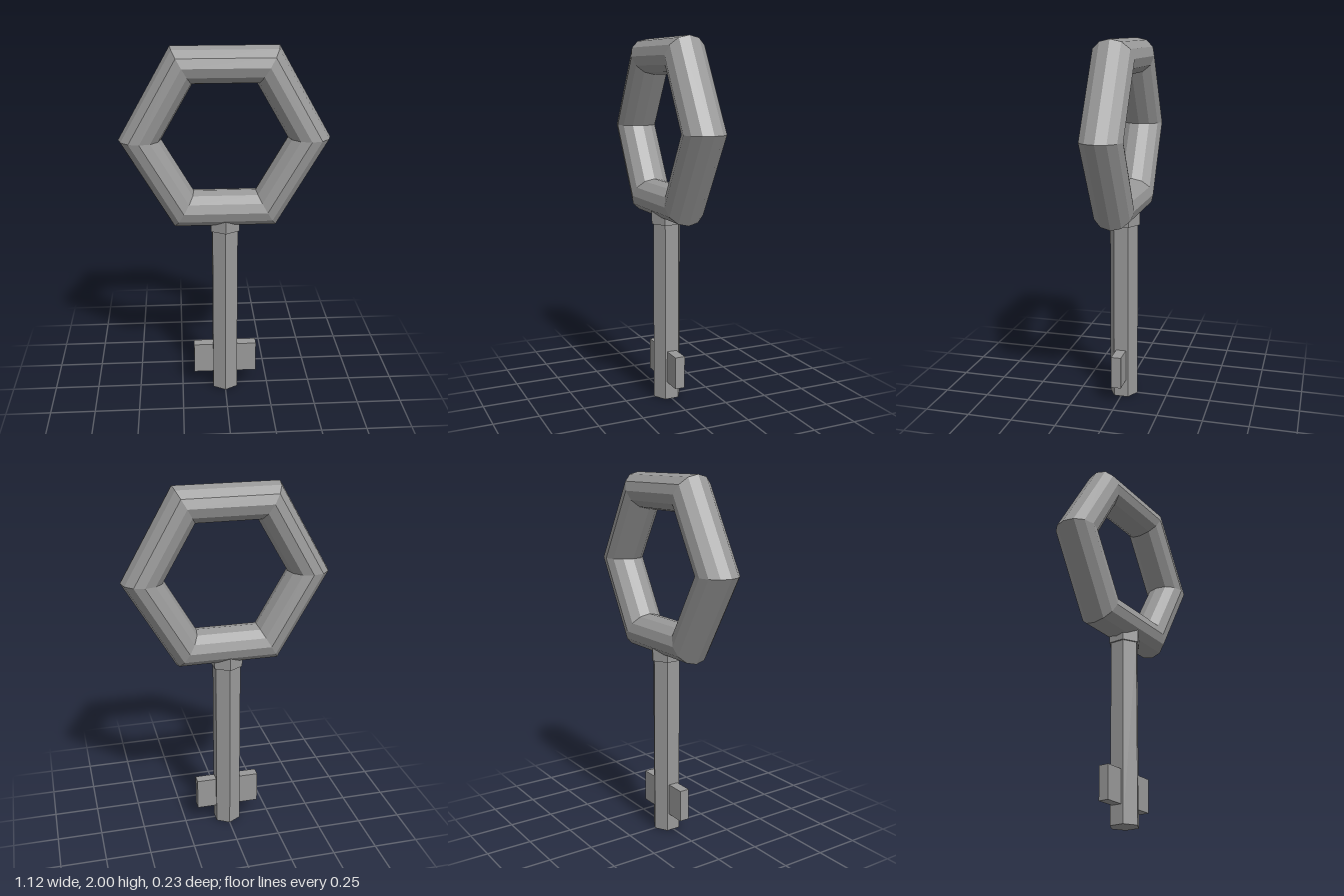
import * as THREE from 'three';

export function createModel() {
  const key = new THREE.Group();
  key.name = 'key';
  const metal = new THREE.MeshStandardMaterial({ color: 0x999999, flatShading: true });
  metal.name = 'grey metal';

  const add = (name, geometry, y) => {
    const mesh = new THREE.Mesh(geometry, metal);
    mesh.name = name;
    mesh.position.y = y;
    key.add(mesh);
  };

  // Upright hexagonal bit and stem, with a corner facing the front
  const hexPrism = (radius, bottom, top, name) =>
    add(name, new THREE.CylinderGeometry(radius, radius, top - bottom, 6), (bottom + top) / 2);

  // Six-sided ring handle with a twelve-sided tube
  add('ringHandle', new THREE.TorusGeometry(0.448, 0.113, 12, 6), 1.515);

  // Stem, and the collar that runs up into the handle
  hexPrism(0.08, 0, 1.01, 'stem');
  hexPrism(0.09, 1, 1.12, 'collar');

  // Tooth on each side of the stem
  for (const [side, name] of [[1, 'leftTooth'], [-1, 'rightTooth']]) {
    const tooth = new THREE.BoxGeometry(0.14, 0.18, 0.056);
    tooth.translate(side * 0.11, 0, 0);
    add(name, tooth, 0.19);
  }

  return key;
}
